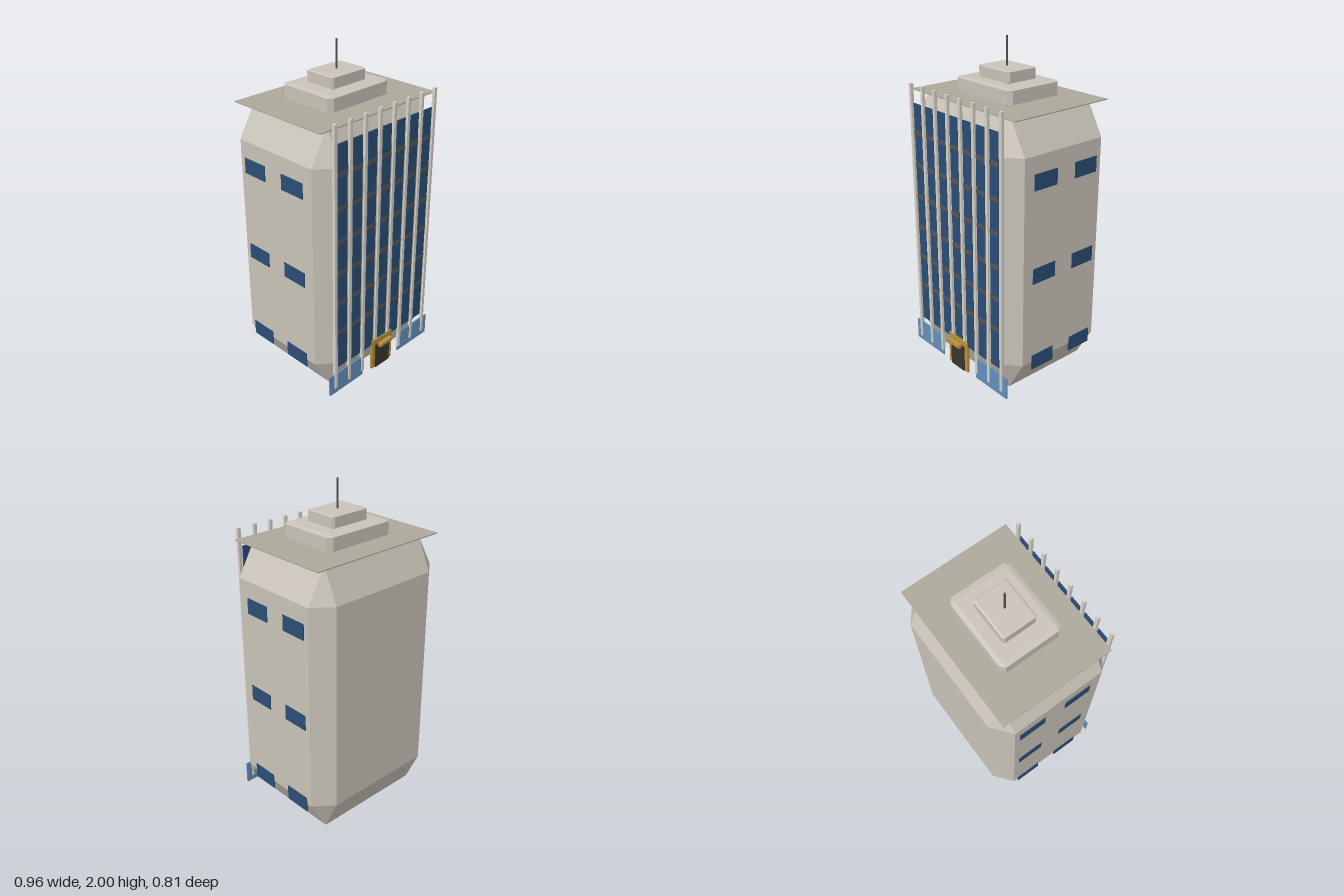
import * as THREE from 'three';
import { ConvexGeometry } from 'three/addons/geometries/ConvexGeometry.js';

const mat = (color) => new THREE.MeshStandardMaterial({ color });
const wall = mat(0xc9c3b8), roofGrey = mat(0xada89b), pale = mat(0xd6d2c8), glass = mat(0x2b4d75);
const lightGlass = mat(0x6490bf), band = mat(0x5a5555), gold = mat(0xb8923a), dark = mat(0x3a352e), metal = mat(0x555555);

// Box given by its extents [min, max] on each axis
function box(parent, name, material, [x0, x1], [y0, y1], [z0, z1]) {
  const mesh = new THREE.Mesh(new THREE.BoxGeometry(x1 - x0, y1 - y0, z1 - z0), material);
  mesh.position.set((x0 + x1) / 2, (y0 + y1) / 2, (z0 + z1) / 2);
  mesh.name = name;
  parent.add(mesh);
}

// Box with every edge cut off; bevel = [bx, by, bz]
function bevelBox(parent, name, material, size, centre, bevel) {
  const points = [];
  for (const sx of [-1, 1]) for (const sy of [-1, 1]) for (const sz of [-1, 1]) {
    for (let axis = 0; axis < 3; axis++) {
      const inset = bevel.map((b, i) => (i === axis ? 0 : b));
      points.push(new THREE.Vector3(
        sx * (size[0] / 2 - inset[0]), sy * (size[1] / 2 - inset[1]), sz * (size[2] / 2 - inset[2])));
    }
  }
  const mesh = new THREE.Mesh(new ConvexGeometry(points), material);
  mesh.position.set(...centre);
  mesh.name = name;
  parent.add(mesh);
}

function subgroup(parent, name) {
  const g = new THREE.Group();
  g.name = name;
  parent.add(g);
  return g;
}

export function createModel() {
  const model = new THREE.Group();
  model.name = 'officeTower';

  // Main block and roof
  bevelBox(model, 'towerBody', wall, [0.95, 1.666, 0.76], [0, 0.833, -0.025], [0.115, 0.2, 0.092]);
  box(model, 'roofSlab', roofGrey, [-0.455, 0.455], [1.665, 1.671], [-0.37, 0.313]);
  bevelBox(model, 'roofTierLower', wall, [0.474, 0.09, 0.38], [0, 1.716, -0.029], [0.03, 0.006, 0.024]);
  bevelBox(model, 'roofTierUpper', wall, [0.264, 0.07, 0.21], [0, 1.796, -0.029], [0.013, 0.004, 0.01]);
  box(model, 'antenna', metal, [-0.004, 0.004], [1.828, 2], [-0.032, -0.024]);

  // Front facade: window strips with spandrels, between vertical fins
  const facade = subgroup(model, 'facade');
  const pitch = 0.1136;
  for (let i = -3; i <= 3; i++) {
    const x = i * pitch;
    box(facade, 'windowStrip', glass, [x - 0.035, x + 0.035], [0.18, 1.605], [0.351, 0.359]);
    for (let f = 0; f < 6; f++) {
      const y = 0.43 + f * 0.2;
      box(facade, 'spandrel', band, [x - 0.035, x + 0.035], [y - 0.013, y + 0.013], [0.352, 0.361]);
    }
  }
  for (let i = 0; i < 8; i++) {
    const x = (i - 3.5) * pitch;
    box(facade, 'fin', pale, [x - 0.01, x + 0.01], [0.035, 1.717], [0.347, 0.365]);
  }

  // Side windows
  const sides = subgroup(model, 'sideWindows');
  for (const s of [-1, 1]) for (const y of [0.196, 0.759, 1.317]) for (const z of [-0.195, 0.11]) {
    const x = s * 0.476;
    box(sides, 'sideWindow', glass, [x - 0.004, x + 0.004], [y - 0.047, y + 0.047], [z - 0.084, z + 0.084]);
  }

  // Ground floor glazing and entrance
  const entrance = subgroup(model, 'entrance');
  for (const [a, b] of [[-0.445, -0.163], [0.163, 0.443]]) {
    box(entrance, 'shopWindow', lightGlass, [a, b], [0, 0.138], [0.35, 0.359]);
  }
  box(entrance, 'doorFrame', gold, [-0.09, 0.09], [0, 0.21], [0.352, 0.366]);
  box(entrance, 'door', dark, [-0.062, 0.062], [0, 0.17], [0.362, 0.373]);
  box(entrance, 'canopy', gold, [-0.053, 0.053], [0.168, 0.19], [0.38, 0.404]);

  return model;
}
